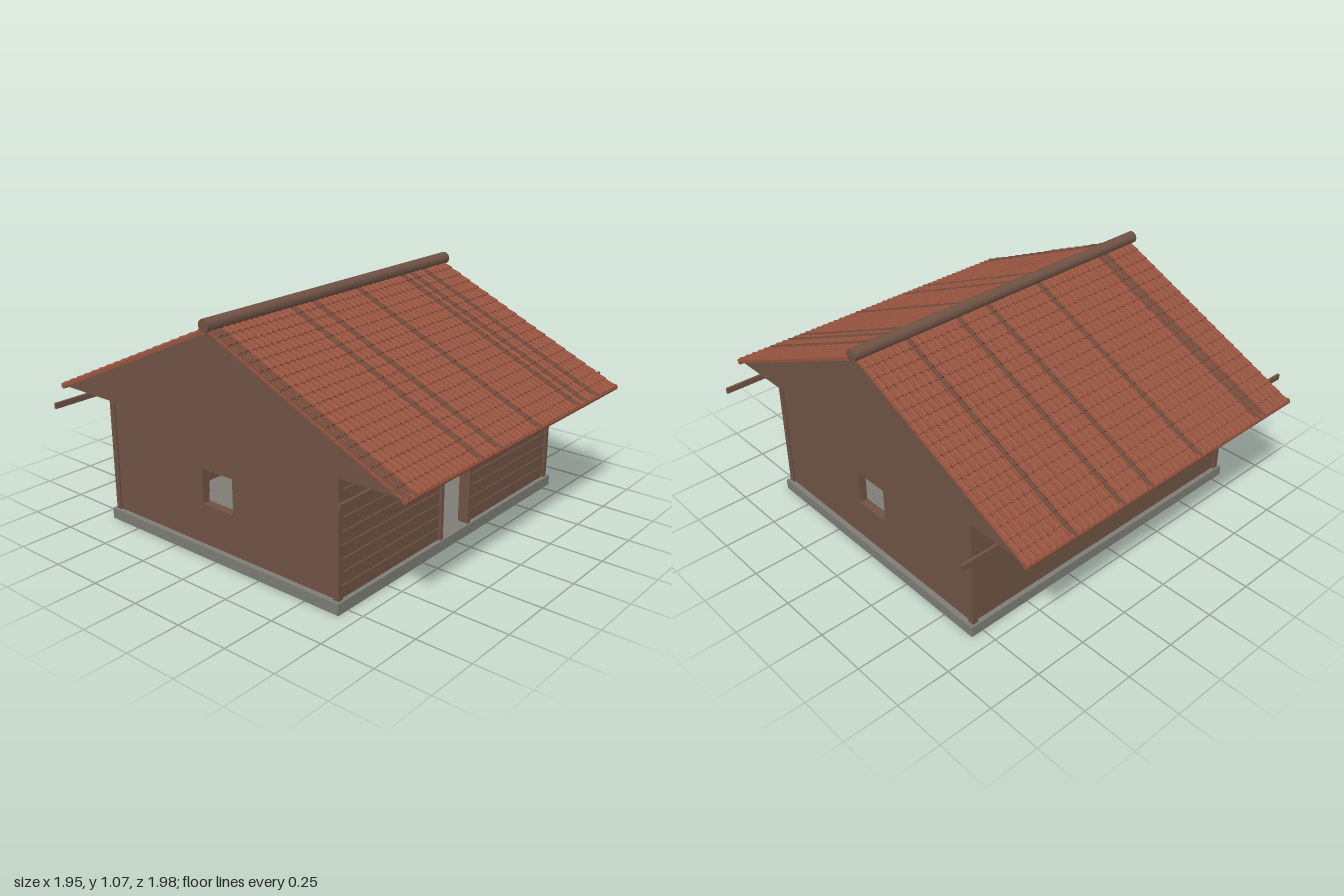
import * as THREE from 'three';
import { mergeGeometries } from 'three/addons/utils/BufferGeometryUtils.js';

const mat = (name, color) => {
  const m = new THREE.MeshStandardMaterial({ color });
  m.name = name;
  return m;
};

export function createModel() {
  const wood = mat('wood', 0x6f5344);
  const tileRed = mat('tile red', 0x96543f);
  const tileBrown = mat('tile brown', 0x704a3a);
  const stone = mat('stone', 0x7d7d76);

  const house = new THREE.Group();
  house.name = 'house';

  const add = (name, geometry, material, parent = house) => {
    const mesh = new THREE.Mesh(geometry, material);
    mesh.name = name;
    parent.add(mesh);
    return mesh;
  };
  // Box given by its limits on each axis
  const box = (name, x0, x1, y0, y1, z0, z1, material = wood, parent = house) => {
    const g = new THREE.BoxGeometry(x1 - x0, y1 - y0, z1 - z0);
    g.translate((x0 + x1) / 2, (y0 + y1) / 2, (z0 + z1) / 2);
    return add(name, g, material, parent);
  };

  const FLOOR = 0.05, EAVE = 0.572, APEX = 1.012, HALF = 0.97;

  box('foundation', -0.81, 0.81, 0, FLOOR, -0.675, 0.675, stone);

  // Side walls with a square window
  const sideShape = new THREE.Shape([
    new THREE.Vector2(-0.65, FLOOR), new THREE.Vector2(0.65, FLOOR),
    new THREE.Vector2(0.65, EAVE), new THREE.Vector2(-0.65, EAVE),
  ]);
  sideShape.holes.push(new THREE.Path([
    new THREE.Vector2(-0.088, 0.23), new THREE.Vector2(-0.088, 0.4),
    new THREE.Vector2(0.088, 0.4), new THREE.Vector2(0.088, 0.23),
  ]));
  const sideGeo = new THREE.ExtrudeGeometry(sideShape, { depth: 0.035, bevelEnabled: false });
  sideGeo.rotateY(Math.PI / 2);
  for (const s of [-1, 1]) {
    add('sideWall', sideGeo, wood).position.x = s > 0 ? 0.75 : -0.785;
    box('windowSill', s * 0.768 - 0.02, s * 0.768 + 0.02, 0.226, 0.24, -0.088, 0.088);
    // Corner posts
    for (const t of [-1, 1]) {
      box('cornerPost', s * 0.781 - 0.013, s * 0.781 + 0.013, FLOOR, EAVE,
        t * 0.65 - 0.014, t * 0.65 + 0.014);
    }
  }
  box('backWall', -0.77, 0.77, FLOOR, EAVE, -0.653, -0.62);

  // Front wall: backing boards and horizontal planks around the doorway
  const DOOR = 0.1, LINTEL = 0.43;
  box('frontBacking', -0.77, -DOOR, FLOOR, EAVE, 0.62, 0.645);
  box('frontBacking', DOOR, 0.77, FLOOR, EAVE, 0.62, 0.645);
  box('frontBacking', -DOOR, DOOR, LINTEL, EAVE, 0.62, 0.645);
  const rows = 9, pitch = (EAVE - FLOOR) / rows;
  for (let i = 0; i < rows; i++) {
    const y0 = FLOOR + i * pitch, y1 = y0 + pitch - 0.005;
    if (y0 < LINTEL) {
      box('frontPlank', -0.77, -DOOR - 0.005, y0, y1, 0.64, 0.655);
      box('frontPlank', DOOR + 0.005, 0.77, y0, y1, 0.64, 0.655);
    } else {
      box('frontPlank', -0.77, 0.77, y0, y1, 0.64, 0.655);
    }
  }

  // Door frame
  for (const s of [-1, 1]) {
    box('doorJamb', s * 0.106 - 0.009, s * 0.106 + 0.009, FLOOR, LINTEL + 0.01, 0.615, 0.668);
  }
  box('doorLintel', -0.115, 0.115, LINTEL, 0.457, 0.615, 0.668);
  box('doorHeader', -0.133, 0.133, 0.455, 0.472, 0.64, 0.675);

  // Bench inside along the back wall
  box('benchSeat', -0.45, 0.45, 0.18, 0.2, -0.6, -0.44);
  box('benchBack', -0.45, 0.45, 0.2, 0.23, -0.62, -0.6);
  box('benchRail', -0.45, 0.45, FLOOR, 0.09, -0.6, -0.56);
  for (const x of [-0.42, 0.42]) box('benchLeg', x - 0.015, x + 0.015, FLOOR, 0.18, -0.58, -0.46);

  // Gable body carrying the roof
  const gableShape = new THREE.Shape([
    new THREE.Vector2(-HALF, EAVE), new THREE.Vector2(HALF, EAVE), new THREE.Vector2(0, APEX),
  ]);
  const gableGeo = new THREE.ExtrudeGeometry(gableShape, { depth: 1.59, bevelEnabled: false });
  gableGeo.rotateY(Math.PI / 2).translate(-0.795, 0, 0);
  add('gable', gableGeo, wood);

  // Eave beams that stick out past the gables
  for (const s of [-1, 1]) {
    box('eaveBeam', -0.975, 0.975, 0.548, 0.574, s * 0.815 - 0.006, s * 0.815 + 0.006);
  }

  // Roof slopes: each is laid out flat from the ridge along +z, then tilted
  const angle = Math.atan2(APEX - EAVE, HALF);
  const LENGTH = 1.075, ROWS = 18, COLS = 48, WIDTH = 1.62;
  const step = LENGTH / ROWS, colPitch = WIDTH / COLS;

  const panParts = [], coverParts = [];
  for (let r = 0; r < ROWS; r++) {
    const z = (r + 0.5) * step;
    const pan = new THREE.BoxGeometry(WIDTH, 0.01, step + 0.006);
    panParts.push(pan.rotateX(-0.06).translate(0, 0.007, z));
    const cover = new THREE.CylinderGeometry(0.0125, 0.0105, step + 0.004, 6, 1, false,
      Math.PI / 2, Math.PI);
    coverParts.push(cover.rotateX(Math.PI / 2 - 0.06).translate(0, 0.011, z));
  }
  const panGeo = mergeGeometries(panParts);
  const coverGeo = mergeGeometries(coverParts);

  // Weathered columns by x position on each slope
  const darkColumns = {
    1: [-0.79, -0.76, -0.33, -0.2, 0.12, 0.44, 0.52, 0.62],
    [-1]: [-0.61, -0.58, -0.2, 0.12, 0.3, 0.57],
  };
  for (const s of [1, -1]) {
    const side = new THREE.Group();
    side.name = s > 0 ? 'frontRoof' : 'backRoof';
    side.rotation.y = s > 0 ? 0 : Math.PI;
    house.add(side);
    const slope = new THREE.Group();
    slope.name = 'slope';
    slope.position.y = APEX;
    slope.rotation.x = angle;
    side.add(slope);

    add('panTiles', panGeo, tileRed, slope);
    for (let c = 0; c < COLS; c++) {
      const x = -WIDTH / 2 + (c + 0.5) * colPitch;
      const dark = darkColumns[s].some((d) => Math.abs(d - s * x) < colPitch / 2);
      add('coverTiles', coverGeo, dark ? tileBrown : tileRed, slope).position.x = x;
    }
    // Rounded edge along the eave
    const edge = new THREE.CylinderGeometry(0.014, 0.014, WIDTH, 10);
    edge.rotateZ(Math.PI / 2).translate(0, 0.008, LENGTH - 0.004);
    add('eaveEdge', edge, tileRed, slope);
  }

  // Ridge roll
  const ridge = new THREE.CylinderGeometry(0.029, 0.029, 1.655, 10);
  ridge.rotateZ(Math.PI / 2).translate(0, 1.042, 0);
  add('ridgeRoll', ridge, wood);

  return house;
}
